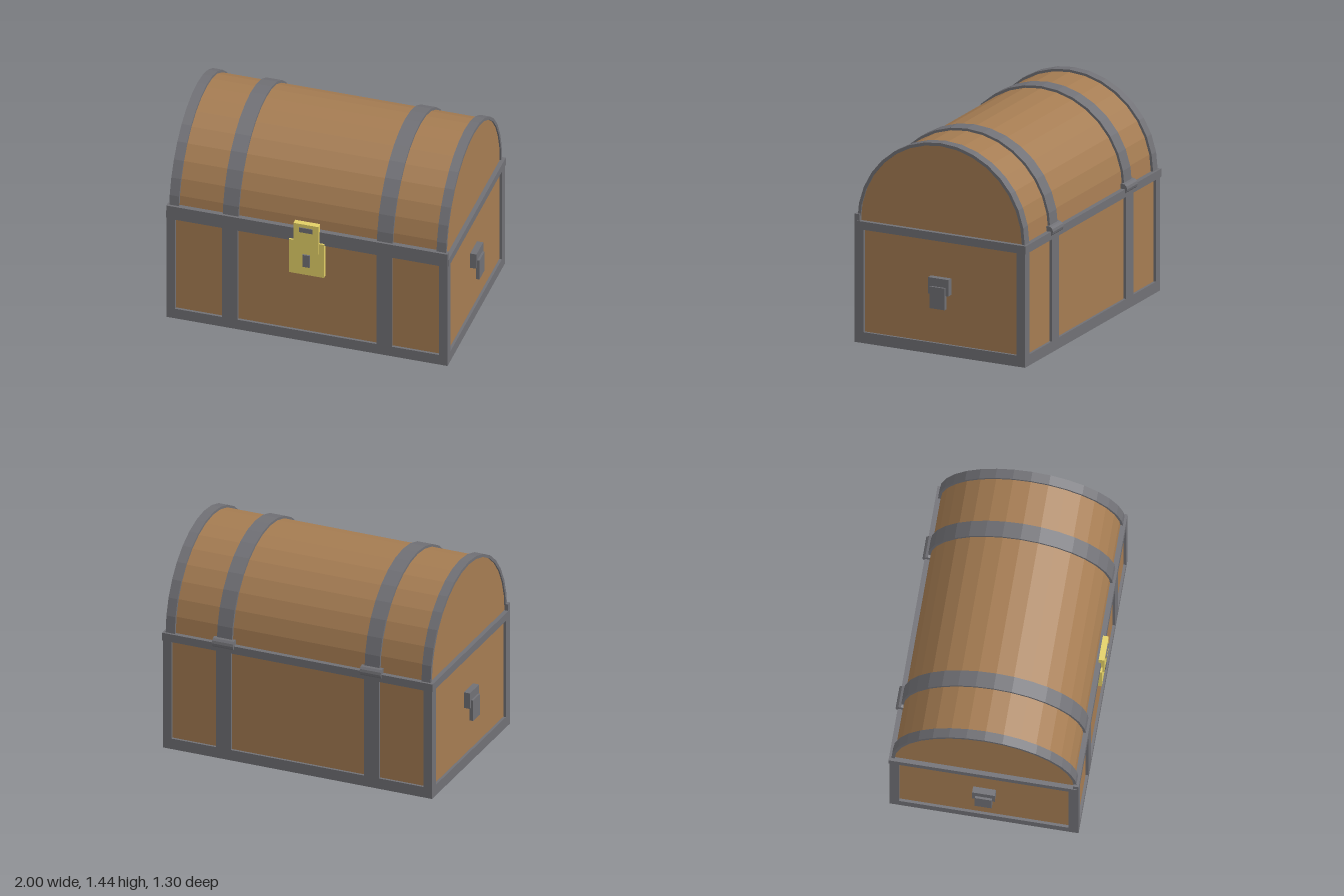
import * as THREE from 'three';

const wood = new THREE.MeshStandardMaterial({ color: 0xa57c52, flatShading: true });
const iron = new THREE.MeshStandardMaterial({ color: 0x707075, flatShading: true });
const brass = new THREE.MeshStandardMaterial({ color: 0xe2cf66, flatShading: true });

const CZ = -0.006; // middle of the chest in depth
const FRONT = 0.62, BACK = -0.63, SIDE = 0.96;

export function createModel() {
  const chest = new THREE.Group();
  chest.name = 'treasureChest';

  const add = (name, geometry, material) => {
    const mesh = new THREE.Mesh(geometry, material);
    mesh.name = name;
    chest.add(mesh);
    return mesh;
  };
  // Box given by its extents along each axis
  const box = (name, material, [x0, x1], [y0, y1], [z0, z1]) => {
    const g = new THREE.BoxGeometry(x1 - x0, y1 - y0, z1 - z0);
    g.translate((x0 + x1) / 2, (y0 + y1) / 2, (z0 + z1) / 2);
    return add(name, g, material);
  };
  // Same extents mirrored for negative x
  const span = (s, a, b) => (s > 0 ? [a, b] : [-b, -a]);

  // Flat iron frame with rectangular openings, lying in the xy plane
  const rect = (Type, x0, x1, y0, y1) => new Type([
    new THREE.Vector2(x0, y0), new THREE.Vector2(x1, y0),
    new THREE.Vector2(x1, y1), new THREE.Vector2(x0, y1)]);
  const frame = (halfWidth, top, openings, depth) => {
    const shape = rect(THREE.Shape, -halfWidth, halfWidth, 0, top);
    for (const [a, b] of openings) shape.holes.push(rect(THREE.Path, a, b, 0.075, 0.775));
    return new THREE.ExtrudeGeometry(shape, { depth, bevelEnabled: false });
  };

  // Half-round section extruded along x; inner > 0 makes it an arch
  const dome = (radius, inner, x0, x1) => {
    const arc = (r) => Array.from({ length: 17 }, (_, i) => {
      const a = (i / 16) * Math.PI;
      return new THREE.Vector2(r * Math.cos(a), r * Math.sin(a));
    });
    const points = inner ? [...arc(radius), ...arc(inner).reverse()] : arc(radius);
    const g = new THREE.ExtrudeGeometry(new THREE.Shape(points), { depth: x1 - x0, bevelEnabled: false });
    return g.rotateY(Math.PI / 2).translate(x0, 0.826, CZ);
  };

  // Wooden body and iron base
  box('body', wood, [-0.942, 0.942], [0.03, 0.8], [BACK + 0.018, FRONT - 0.018]);
  box('basePlate', iron, [-0.95, 0.95], [0, 0.05], [BACK + 0.01, FRONT - 0.01]);

  // Iron framing on the four walls
  const bays = [[-0.90, -0.58], [-0.475, 0.475], [0.58, 0.90]];
  add('frontFrame', frame(SIDE, 0.875, bays, 0.036), iron).position.z = FRONT - 0.036;
  add('backFrame', frame(SIDE, 0.78, bays, 0.036), iron).position.z = BACK;
  for (const s of [1, -1]) {
    const side = add('sideFrame', frame(0.62, 0.78, [[-0.56, 0.56]], 0.03), iron);
    side.rotation.y = s * Math.PI / 2;
    side.position.set(s * (SIDE - 0.03), 0, CZ);
  }
  box('rim', iron, [-0.965, 0.965], [0.775, 0.83], [-0.636, 0.61]);

  // Barrel lid with four iron bands
  add('lid', dome(0.597, 0, -0.935, 0.935), wood);
  for (const s of [1, -1]) {
    add('endBand', dome(0.614, 0.593, ...span(s, 0.88, 0.945)), iron);
    add('lidBand', dome(0.614, 0.59, ...span(s, 0.473, 0.58)), iron);

    // Hinge barrel on the back
    const hinge = add('hinge', new THREE.CylinderGeometry(0.036, 0.036, 0.15, 12), iron);
    hinge.rotation.z = Math.PI / 2;
    hinge.position.set(s * 0.527, 0.83, -0.614);

    // Side handle: mount and hanging grip
    box('handleMount', iron, span(s, 0.935, 0.985), [0.415, 0.527], [-0.08, 0.07]);
    box('handleGrip', iron, span(s, 0.975, 1.0), [0.322, 0.47], [-0.06, 0.052]);
  }

  // Lock: plate with keyhole, hasp with slot
  box('lockPlate', brass, [-0.12, 0.12], [0.53, 0.79], [0.59, 0.632]);
  box('keyhole', iron, [-0.025, 0.025], [0.597, 0.69], [0.625, 0.643]);
  box('hasp', brass, [-0.085, 0.085], [0.71, 0.93], [0.605, 0.643]);
  box('haspSlot', iron, [-0.046, 0.046], [0.87, 0.905], [0.635, 0.65]);

  return chest;
}
